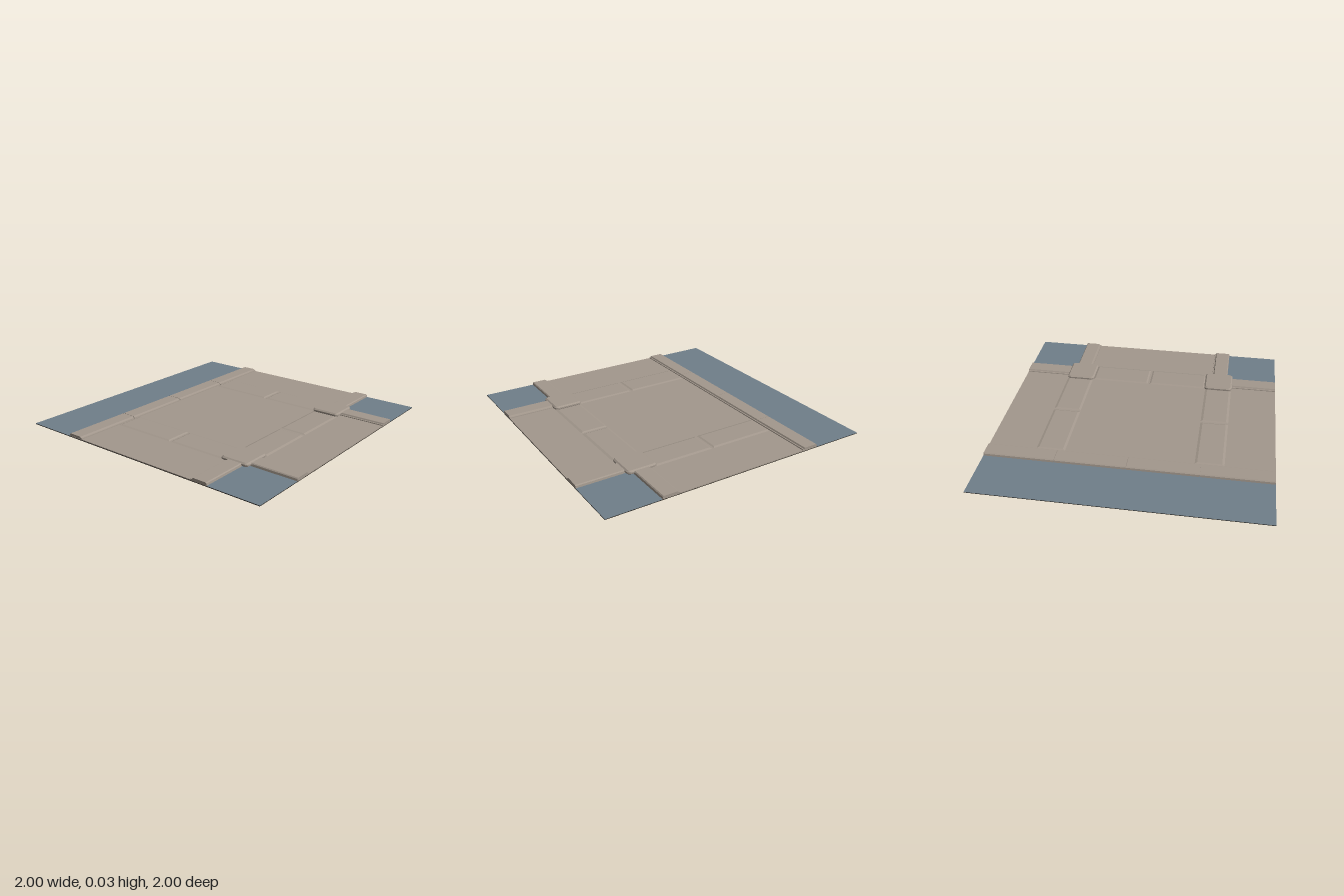
import * as THREE from 'three';

const stone = new THREE.MeshStandardMaterial({ color: 0xa3988d });
stone.name = 'stone';
const blue = new THREE.MeshStandardMaterial({ color: 0x707f8a });
blue.name = 'slate blue';
const dark = new THREE.MeshStandardMaterial({ color: 0x28231c });
dark.name = 'dark underside';

export function createModel() {
  const tile = new THREE.Group();
  tile.name = 'streetTile';

  const add = (name, geometry, material, x = 0, y = 0, z = 0) => {
    const mesh = new THREE.Mesh(geometry, material);
    mesh.name = name;
    mesh.position.set(x, y, z);
    tile.add(mesh);
    return mesh;
  };

  // Box between two corners in plan
  const plate = (name, material, x0, x1, z0, z1, y0, y1) =>
    add(name, new THREE.BoxGeometry(x1 - x0, y1 - y0, z1 - z0), material,
      (x0 + x1) / 2, (y0 + y1) / 2, (z0 + z1) / 2);

  // Low paving slab with sloping edges
  const paving = (name, x0, x1, z0, z1, insetX, insetZ) => {
    const w = x1 - x0, d = z1 - z0;
    const flat = new THREE.BoxGeometry(w, 0.006, d);
    const p = flat.attributes.position;
    for (let i = 0; i < p.count; i++) {
      if (p.getY(i) < 0) continue;
      p.setX(i, p.getX(i) * (1 - 2 * insetX / w));
      p.setZ(i, p.getZ(i) * (1 - 2 * insetZ / d));
    }
    flat.computeVertexNormals();
    add(name, flat, stone, (x0 + x1) / 2, 0.012, (z0 + z1) / 2);
  };

  // Kerb cross-section: outer edge at 0, stepped inner edge
  const profile = new THREE.Shape([
    [0, 0.003], [0.126, 0.003], [0.124, 0.016], [0.115, 0.017],
    [0.109, 0.026], [0.009, 0.026], [0.003, 0.02],
  ].map(([u, v]) => new THREE.Vector2(u, v)));
  const kerb = (name, length, x, z, turn) => {
    const g = new THREE.ExtrudeGeometry(profile, { depth: length, bevelEnabled: false });
    g.translate(0, 0, -length / 2);
    add(name, g, stone, x, 0, z).rotation.y = turn;
  };

  // Corner block with rounded plan and chamfered top
  const cornerBlock = (x, z) => {
    const h = 0.097, r = 0.018;
    const s = new THREE.Shape();
    s.moveTo(-h + r, -h);
    s.lineTo(h - r, -h);
    s.quadraticCurveTo(h, -h, h, -h + r);
    s.lineTo(h, h - r);
    s.quadraticCurveTo(h, h, h - r, h);
    s.lineTo(-h + r, h);
    s.quadraticCurveTo(-h, h, -h, h - r);
    s.lineTo(-h, -h + r);
    s.quadraticCurveTo(-h, -h, -h + r, -h);
    const g = new THREE.ExtrudeGeometry(s, {
      depth: 0.011, bevelThickness: 0.009, bevelSize: 0.011, bevelSegments: 1, curveSegments: 4,
    });
    g.rotateX(-Math.PI / 2);
    add('cornerBlock', g, stone, x, 0.013, z);
  };

  // Base and ground areas
  plate('base', dark, -1, 1, -1, 1, 0, 0.004);
  plate('sideGround', blue, -1, -0.61, -1, 1, 0.004, 0.006);
  plate('roadMain', stone, -0.61, 0.61, -1, 1, 0.004, 0.01);
  plate('roadBranch', stone, 0.61, 1, -0.61, 0.61, 0.004, 0.01);

  // Long kerb in four lengths with fine seams
  for (let i = 0; i < 4; i++) kerb('longKerb', 0.497, -0.62, -0.75 + i * 0.5, 0);

  for (const s of [-1, 1]) {
    const z = (a, b) => [Math.min(s * a, s * b), Math.max(s * a, s * b)];
    plate('cornerGround', blue, 0.61, 1, ...z(0.61, 1), 0.004, 0.006);
    kerb('cornerKerb', 0.37, 0.615, s * 0.815, Math.PI);
    kerb('branchKerb', 0.37, 0.815, s * 0.62, s * Math.PI / 2);
    cornerBlock(0.55, s * 0.553);

    // Crossing slabs over the main road and the branch
    paving('crossingSlab', -0.49, -0.005, ...z(0.45, 0.66), 0.015, 0.02);
    paving('crossingSlab', 0.005, 0.45, ...z(0.45, 0.66), 0.015, 0.02);
    paving('branchCrossingSlab', 0.45, 0.66, ...z(0.005, 0.45), 0.02, 0.015);
  }
  return tile;
}
